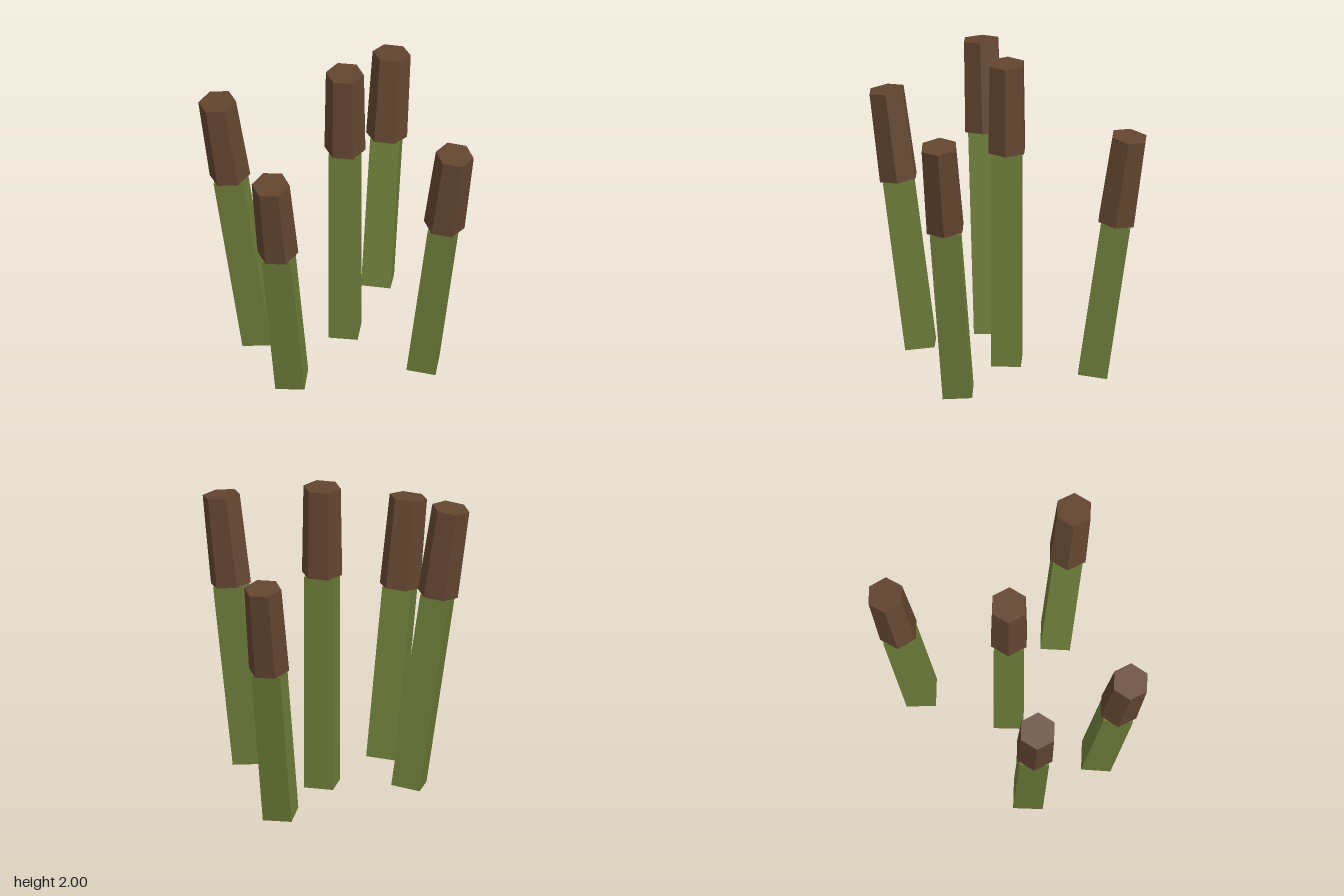
import * as THREE from 'three';

const green = new THREE.MeshStandardMaterial({ name: 'stemGreen', color: 0x6d7c39, flatShading: true });
const brown = new THREE.MeshStandardMaterial({ name: 'headBrown', color: 0x624530, flatShading: true });

const HEAD = 0.575; // length of each brown head
const STEM_WIDTH = 0.183;

// A leaning reed: square stem with a slightly tapered six-sided head on its end
function makeReed(name, base, tip) {
  const axis = new THREE.Vector3().subVectors(tip, base);
  const stemLength = axis.length() - HEAD;

  const reed = new THREE.Group();
  reed.name = name;
  reed.position.copy(base);
  reed.quaternion.setFromUnitVectors(new THREE.Vector3(0, 1, 0), axis.normalize());

  const stem = new THREE.Mesh(new THREE.BoxGeometry(STEM_WIDTH, stemLength, STEM_WIDTH), green);
  stem.name = 'stem';
  stem.position.y = stemLength / 2;

  // Corners of the head point along x
  const headShape = new THREE.CylinderGeometry(0.119, 0.128, HEAD, 6).rotateY(Math.PI / 2);
  const head = new THREE.Mesh(headShape, brown);
  head.name = 'head';
  head.position.y = stemLength + HEAD / 2;

  reed.add(stem, head);
  return reed;
}

export function createModel() {
  const model = new THREE.Group();
  model.name = 'reeds';

  // name, centre of the foot, centre of the tip
  const reeds = [
    ['centreReed', [0.015, 0.02, 0.003], [0.015, 2.0, 0.003]],
    ['rightReed', [-0.505, 0.018, 0.137], [-0.757, 1.855, 0.202]],
    ['leftReed', [0.538, 0.018, 0.277], [0.752, 1.728, 0.387]],
    ['frontReed', [-0.245, 0.02, 0.55], [-0.348, 1.67, 0.767]],
    ['backReed', [0.147, 0.018, -0.54], [0.205, 1.606, -0.768]],
  ];
  for (const [name, base, tip] of reeds) {
    model.add(makeReed(name, new THREE.Vector3(...base), new THREE.Vector3(...tip)));
  }
  return model;
}
